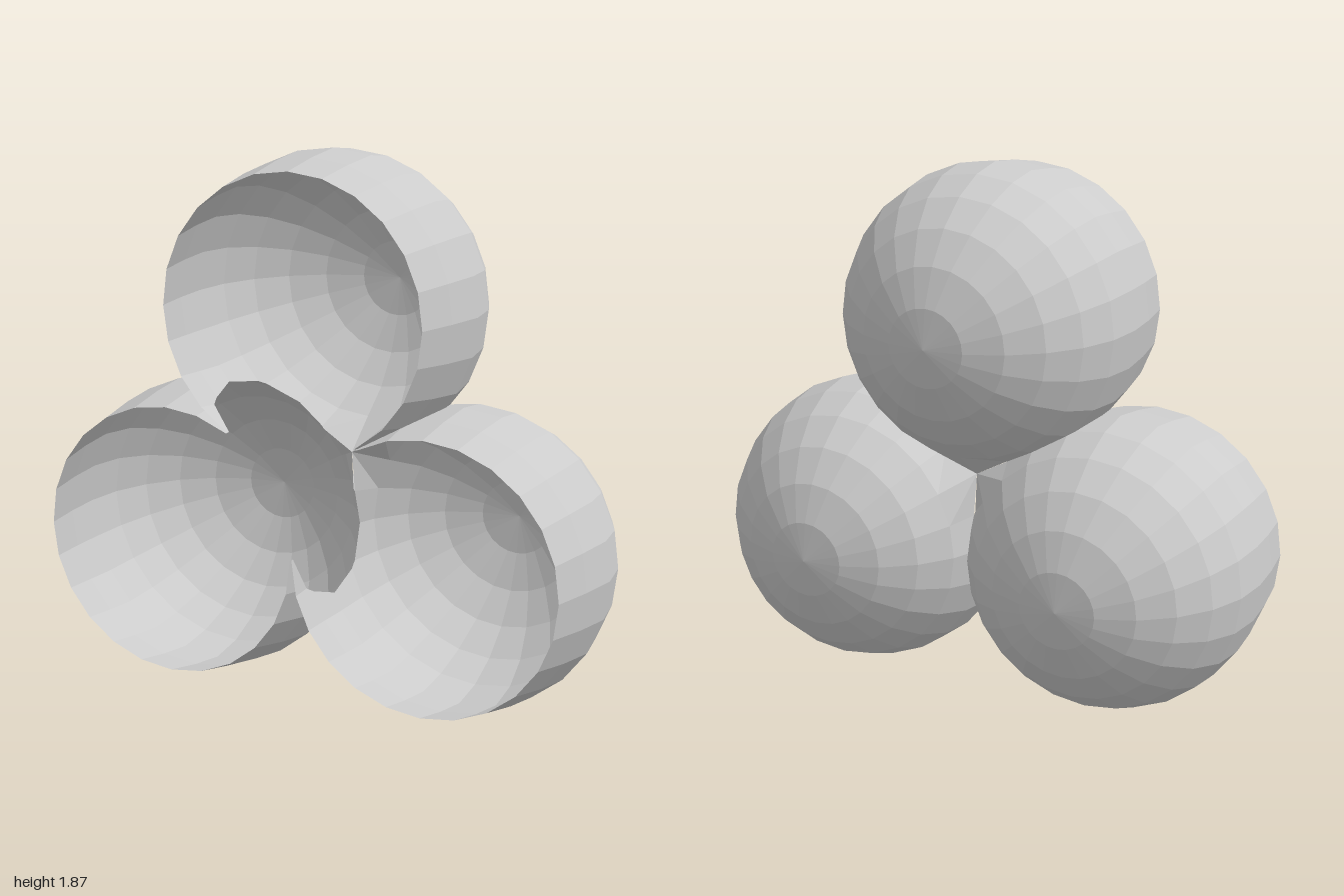
import * as THREE from 'three';

const R = 0.522, SIDE = 0.956, WAIST = 0.122, FRONT = 0.4;
const TOP_Y = R + SIDE * Math.sqrt(3) / 2;
const MIDDLE = new THREE.Vector3(0, R + SIDE / (2 * Math.sqrt(3)), 0);

// Cuts a polygon with a plane, keeping the side behind the plane.
function clip(poly, plane) {
  const out = [];
  poly.forEach((a, i) => {
    const b = poly[(i + 1) % poly.length];
    const da = plane.distanceToPoint(a), db = plane.distanceToPoint(b);
    if (da <= 1e-6) out.push(a);
    if ((da < -1e-6 && db > 1e-6) || (da > 1e-6 && db < -1e-6)) {
      out.push(a.clone().lerp(b, da / (da - db)));
    }
  });
  return out;
}

// Faceted round bowl with its axis along z and its mouth at the front.
function bowlGeometry(center, others) {
  const profile = [];
  for (let k = -6; k <= 1; k++) {
    const a = k * Math.PI / 12;
    profile.push(new THREE.Vector2(k === -6 ? 0 : R * Math.cos(a), WAIST + R * Math.sin(a)));
  }
  profile.push(new THREE.Vector2(0.475, FRONT));
  const lathe = new THREE.LatheGeometry(profile, 24).rotateX(Math.PI / 2)
    .translate(center.x, center.y, 0).toNonIndexed();
  const pos = lathe.attributes.position;

  // Seam planes halfway to each neighbour
  const planes = others.map((o) => new THREE.Plane().setFromNormalAndCoplanarPoint(
    o.clone().sub(center).normalize(), o.clone().add(center).multiplyScalar(0.5)));
  const inward = MIDDLE.clone().sub(center).normalize();
  const verts = [];

  for (let i = 0; i < pos.count; i += 3) {
    let poly = [0, 1, 2].map((k) => new THREE.Vector3().fromBufferAttribute(pos, i + k));
    const mid = poly[0].clone().add(poly[1]).add(poly[2]).divideScalar(3);

    // The wall facing the middle is open in front of the waist
    const dir = mid.clone().sub(center).setZ(0).normalize();
    if (mid.z > WAIST && dir.dot(inward) > Math.cos(Math.PI / 6)) continue;

    // Close the three bowls together along the middle axis
    for (const p of poly) {
      if (Math.hypot(p.x, p.y - MIDDLE.y) < 0.06) { p.x = 0; p.y = MIDDLE.y; }
    }
    for (const plane of planes) poly = clip(poly, plane);

    // Lean the front part slightly to one side
    poly = poly.map((p) => new THREE.Vector3(
      p.x - 0.024 * Math.max(0, (p.z - WAIST) / (FRONT - WAIST)), p.y, p.z));
    for (let k = 1; k + 1 < poly.length; k++) {
      for (const p of [poly[0], poly[k], poly[k + 1]]) verts.push(p.x, p.y, p.z);
    }
  }
  const g = new THREE.BufferGeometry();
  g.setAttribute('position', new THREE.Float32BufferAttribute(verts, 3));
  g.computeVertexNormals();
  return g;
}

export function createModel() {
  const group = new THREE.Group();
  group.name = 'tripleBowl';
  const material = new THREE.MeshStandardMaterial({
    color: 0xcccccc, flatShading: true, side: THREE.DoubleSide,
  });
  const bowls = [
    ['topBowl', new THREE.Vector3(0, TOP_Y, 0)],
    ['leftBowl', new THREE.Vector3(SIDE / 2, R, 0)],
    ['rightBowl', new THREE.Vector3(-SIDE / 2, R, 0)],
  ];
  for (const [name, center] of bowls) {
    const others = bowls.filter((b) => b[0] !== name).map((b) => b[1]);
    const mesh = new THREE.Mesh(bowlGeometry(center, others), material);
    mesh.name = name;
    group.add(mesh);
  }
  return group;
}
